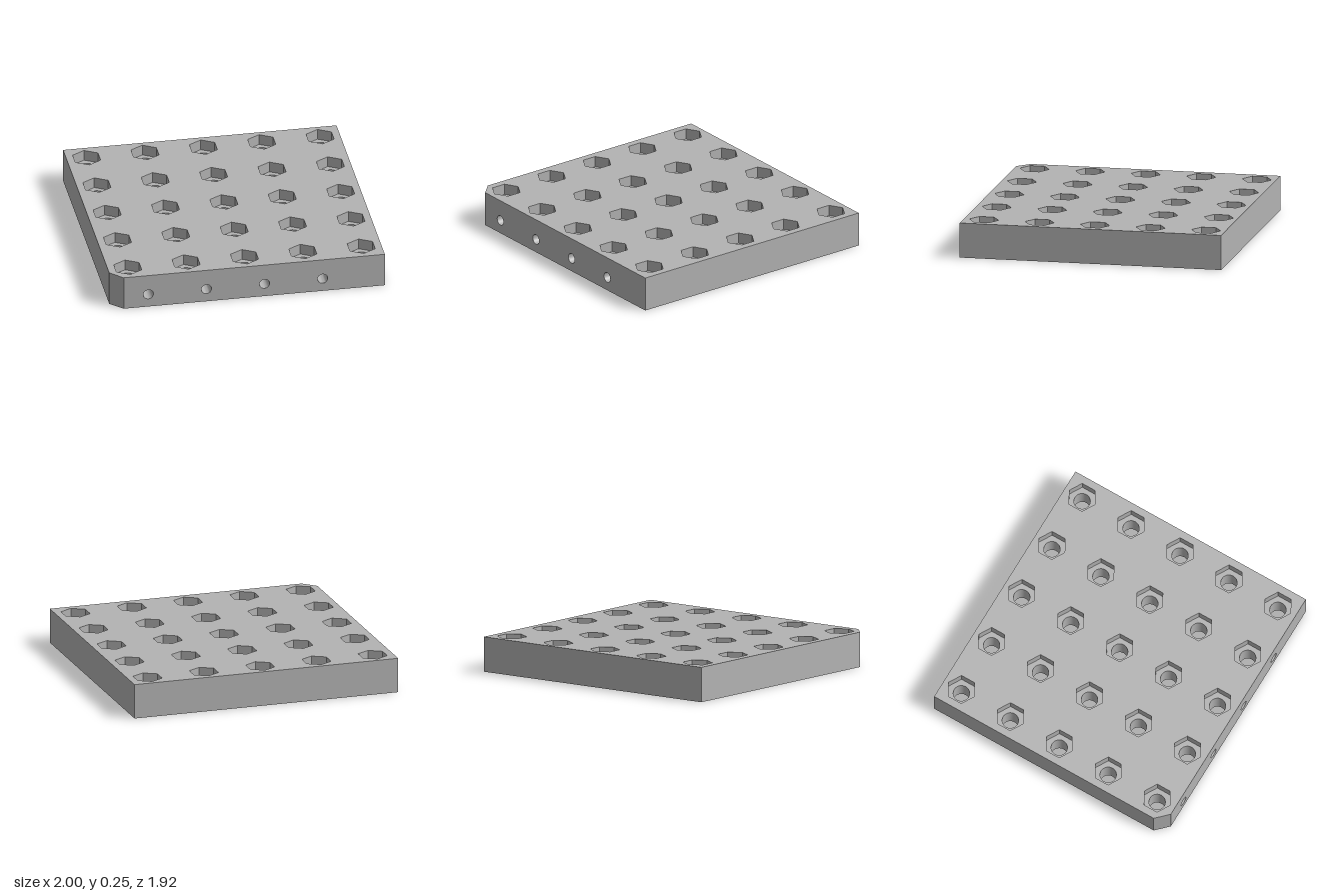
import * as THREE from 'three';
import { mergeGeometries, toCreasedNormals } from 'three/addons/utils/BufferGeometryUtils.js';

const H = 0.255, Z = 0.9625, CUT = 0.09;       // plate height, half depth, corner cut
const HEX_FLOOR = 0.175, HOLE_R = 0.059;       // nut pocket floor, through hole radius
const SLOT_R = 0.05, SLOT_HALF = 0.06, SLOT_TOP = 0.15;
const CH_Y = 0.1, ENTRY_R = 0.037, LINK_R = 0.023; // side channels

// Keep positions only, so that pieces can be merged
function bare(g) {
  const n = g.index ? g.toNonIndexed() : g;
  n.deleteAttribute('uv');
  n.deleteAttribute('normal');
  return n;
}

// Regular loop of [x, z] points
function ring(x, z, r, n, turn = 0) {
  return Array.from({ length: n }, (_, i) => {
    const a = turn + (i / n) * Math.PI * 2;
    return [x + r * Math.cos(a), z + r * Math.sin(a)];
  });
}

// Rounded slot outline, long in z
function slotLoop(x, z) {
  const pts = [];
  for (const [end, start] of [[1, 0], [-1, Math.PI]]) {
    for (let i = 0; i <= 24; i++) {
      const a = start + (i / 24) * Math.PI;
      pts.push([x + SLOT_R * Math.cos(a), z + end * SLOT_HALF + SLOT_R * Math.sin(a)]);
    }
  }
  return pts;
}

// Horizontal face with holes
function level(outline, holes, y, up) {
  const vec = (p) => p.map(([x, z]) => new THREE.Vector2(x, up ? -z : z));
  const shape = new THREE.Shape(vec(outline));
  shape.holes = holes.map((h) => new THREE.Path(vec(h)));
  const g = new THREE.ShapeGeometry(shape);
  g.rotateX(up ? -Math.PI / 2 : Math.PI / 2);
  return bare(g.translate(0, y, 0));
}

// Upright wall around a loop, facing inwards; lo and hi give its edges per point
function wall(pts, lo, hi) {
  const v = [];
  pts.forEach((a, i) => {
    const b = pts[(i + 1) % pts.length];
    const [a0, a1, b0, b1] = [lo(a), hi(a), lo(b), hi(b)];
    v.push(a[0], a0, a[1], b[0], b0, b[1], b[0], b1, b[1]);
    v.push(a[0], a0, a[1], b[0], b1, b[1], a[0], a1, a[1]);
  });
  const g = new THREE.BufferGeometry();
  g.setAttribute('position', new THREE.Float32BufferAttribute(v, 3));
  return g;
}

// Round channel along z whose ends follow the curved slot walls
function channel(x, r, frontZ, backZ) {
  const g = new THREE.CylinderGeometry(r, r, 2, 32, 1, true).rotateX(Math.PI / 2);
  const p = g.attributes.position;
  for (let i = 0; i < p.count; i++) {
    const dx = p.getX(i);
    p.setZ(i, p.getZ(i) > 0 ? frontZ(dx) : backZ(dx));
  }
  return bare(g.scale(-1, 1, 1).translate(x, CH_Y, 0));
}

export function createModel() {
  const model = new THREE.Group();
  const grey = new THREE.MeshStandardMaterial({ color: 0xb3b3b3, side: THREE.DoubleSide });
  grey.name = 'plain grey';
  const add = (name, parts) => {
    const mesh = new THREE.Mesh(toCreasedNormals(mergeGeometries(parts), 0.5), grey);
    mesh.name = name;
    model.add(mesh);
  };

  const outline = [[-1, -Z], [1, -Z], [1, Z], [-1 + CUT, Z], [-1, Z - CUT]];
  const holeSpots = [], slotSpots = [];
  for (let i = -2; i <= 2; i++) {
    for (let j = -2; j <= 2; j++) holeSpots.push([i * 0.427, j * 0.409 - 0.003]);
  }
  const channelX = [-0.73, -0.305, 0.12, 0.545];
  const slotZ = [0.636, 0.227, -0.182, -0.591]; // front to back
  for (const x of channelX) {
    slotZ.forEach((z, row) => {
      slotSpots.push({ x, z, row, open: true }, { x: x + 0.19, z, row, open: false });
    });
  }
  const hexes = holeSpots.map(([x, z]) => ring(x, z, 0.107, 6, Math.PI / 6));
  const holes = holeSpots.map(([x, z]) => ring(x, z, HOLE_R, 32));
  const slots = slotSpots.map((s) => slotLoop(s.x, s.z));

  // Outer faces of the plate
  add('topFace', [level(outline, hexes, H, true)]);
  add('bottomFace', [level(outline, [...holes, ...slots], 0, false)]);
  const front = new THREE.Shape();
  front.moveTo(-1 + CUT, 0).lineTo(1, 0).lineTo(1, H).lineTo(-1 + CUT, H);
  front.holes = channelX.map((x) => new THREE.Path().absarc(x, CH_Y, ENTRY_R, 0, Math.PI * 2));
  add('frontFace', [bare(new THREE.ShapeGeometry(front, 32).translate(0, 0, Z))]);
  const sides = [];
  outline.forEach((a, i) => {
    const b = outline[(i + 1) % outline.length];
    if (a[1] === Z && b[1] === Z) return;
    sides.push(wall([b, a], () => 0, () => H));
    // one quad only, the loop's return side is dropped
    const g = sides[sides.length - 1];
    g.setAttribute('position', new THREE.Float32BufferAttribute(g.attributes.position.array.slice(0, 18), 3));
  });
  add('sideFaces', sides);

  // Hexagonal nut pockets and the round holes below them
  add('nutPockets', hexes.flatMap((h, i) => [
    wall(h, () => HEX_FLOOR, () => H),
    level(h, [holes[i]], HEX_FLOOR, true),
  ]));
  add('throughHoles', holes.map((h) => wall(h, () => 0, () => HEX_FLOOR)));

  // Slots in the underside, with openings where the channels cross
  add('undersideSlots', slots.flatMap((loop, i) => {
    const { x, z, row, open } = slotSpots[i];
    const gap = (p) => {
      const r = !open ? 0 : p[1] > z ? (row === 0 ? ENTRY_R : LINK_R) : (row < 3 ? LINK_R : 0);
      return Math.sqrt(Math.max(0, r * r - (p[0] - x) ** 2));
    };
    return [
      wall(loop, () => 0, (p) => CH_Y - gap(p)),
      wall(loop, (p) => CH_Y + gap(p), () => SLOT_TOP),
      level(loop, [], SLOT_TOP, false),
    ];
  }));

  // Channels from the front face through each row of slots
  const reach = (dx) => SLOT_HALF + Math.sqrt(SLOT_R ** 2 - dx * dx);
  add('sideChannels', channelX.flatMap((x) => slotZ.map((z, row) => channel(
    x,
    row ? LINK_R : ENTRY_R,
    (dx) => (row ? slotZ[row - 1] - reach(dx) : Z),
    (dx) => z + reach(dx),
  ))));

  return model;
}
